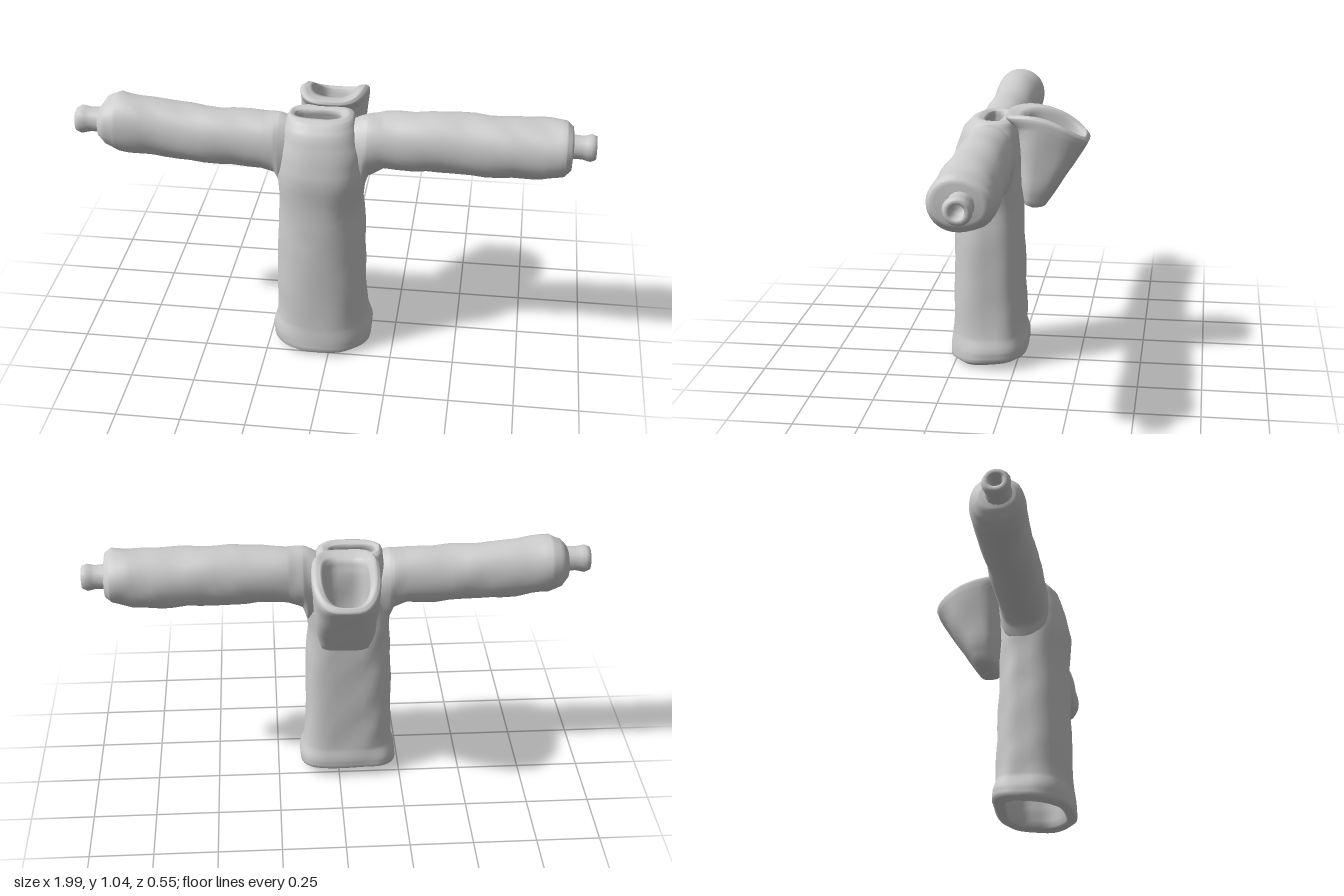
import * as THREE from 'three';

const cloth = new THREE.MeshStandardMaterial({ color: 0xcccccc, side: THREE.DoubleSide });
cloth.name = 'pale grey cloth';

// Point of a superellipse; n = 2 is round, larger is boxier.
function oval(t, n) {
  const c = Math.cos(t), s = Math.sin(t), e = 2 / n;
  return [Math.sign(c) * Math.abs(c) ** e, Math.sign(s) * Math.abs(s) ** e];
}

// Soft cloth lumps, used to swell each ring slightly.
const lumps = (p) =>
  Math.sin(p.x * 23 + p.y * 9) * Math.sin(p.y * 19 + p.z * 21 + 1) +
  0.6 * Math.sin(p.x * 41 - p.z * 27 + p.y * 31);

// Skins a list of sections; point(section, angle) gives a corner of a ring.
function loft(name, sections, point, { sides = 36, sub = 4, lump = 0.003, capStart = false, capEnd = false } = {}) {
  const rings = [];
  sections.forEach((s, i) => {
    if (i === sections.length - 1) return rings.push(s);
    for (let k = 0; k < sub; k++) {
      rings.push(s.map((v, j) => THREE.MathUtils.lerp(v, sections[i + 1][j], k / sub)));
    }
  });
  const pos = [], index = [], centres = [];
  rings.forEach((s) => {
    const pts = [], centre = new THREE.Vector3();
    for (let k = 0; k < sides; k++) {
      const p = point(s, (k / sides) * Math.PI * 2);
      pts.push(p);
      centre.addScaledVector(p, 1 / sides);
    }
    centres.push(centre);
    pts.forEach((p) => {
      const out = p.clone().sub(centre).normalize();
      p.addScaledVector(out, lump * lumps(p));
      pos.push(p.x, p.y, p.z);
    });
  });
  for (let r = 0; r < rings.length - 1; r++) {
    for (let k = 0; k < sides; k++) {
      const a = r * sides + k, b = r * sides + ((k + 1) % sides);
      index.push(a, a + sides, b, b, a + sides, b + sides);
    }
  }
  const cap = (r, start) => {
    const c = pos.length / 3;
    pos.push(...centres[r].toArray());
    for (let k = 0; k < sides; k++) {
      const a = r * sides + k, b = r * sides + ((k + 1) % sides);
      index.push(c, start ? a : b, start ? b : a);
    }
  };
  if (capStart) cap(0, true);
  if (capEnd) cap(rings.length - 1, false);
  const g = new THREE.BufferGeometry();
  g.setAttribute('position', new THREE.Float32BufferAttribute(pos, 3));
  g.setIndex(index);
  g.computeVertexNormals();
  const mesh = new THREE.Mesh(g, cloth);
  mesh.name = name;
  return mesh;
}

// Body section: [y, x0, x1, zBack, zFront]; round front and flatter back.
function bodyPoint([y, x0, x1, z0, z1], t) {
  const [u, v] = oval(t, Math.sin(t) < 0 ? 3.6 : 2.2);
  const z = (z0 + z1) / 2 + (v * (z1 - z0)) / 2;
  const hem = 0.1 * (0.25 - z) * Math.max(0, 1 - y / 0.2);
  return new THREE.Vector3((x0 + x1) / 2 + (u * (x1 - x0)) / 2, y + hem, z);
}

// Sleeve section: [x, y0, y1, z0, z1], running outward from the body.
const sleevePoint = (side) => ([x, y0, y1, z0, z1], t) => {
  const [u, v] = oval(t, 2.1);
  return new THREE.Vector3(x, (y0 + y1) / 2 + (u * (y1 - y0)) / 2, (z0 + z1) / 2 - (side * v * (z1 - z0)) / 2);
};

// Hood section: [zFront, yFront, zBack, yBack, halfWidth, bow].
function hoodPoint([zf, yf, zb, yb, w, bow], t) {
  const [u, v] = oval(t, 3);
  const k = (v + 1) / 2;
  return new THREE.Vector3(-0.02 + u * w, yb + (yf - yb) * k + bow * (1 - v * v), zb + (zf - zb) * k);
}

// Short hollow cuff: outside, rim, then the recess.
function cuff(name, side, xIn, xOut, y, z, r) {
  const ring = (x, k) => [x, y - r * k, y + r * k, z - r * k, z + r * k];
  return loft(name, [
    ring(xIn, 0.95), ring(xIn + (xOut - xIn) * 0.5, 0.88), ring(xOut - side * 0.02, 1.02),
    ring(xOut, 0.85), ring(xOut, 0.55), ring(xOut - side * 0.06, 0.4),
  ], sleevePoint(side), { sides: 16, sub: 2, lump: 0.002, capEnd: true });
}

export function createModel() {
  const group = new THREE.Group();
  group.name = 'hoodedGarment';

  // Hollow body: outside going up, collar, then the lining back to the hem
  group.add(loft('body', [
    [0.005, -0.215, 0.135, -0.01, 0.255],
    [0.025, -0.238, 0.158, -0.038, 0.277],
    [0.07, -0.238, 0.158, -0.038, 0.275],
    [0.13, -0.22, 0.14, -0.025, 0.268],
    [0.3, -0.218, 0.132, -0.02, 0.265],
    [0.5, -0.213, 0.13, -0.015, 0.26],
    [0.65, -0.205, 0.118, -0.01, 0.258],
    [0.78, -0.212, 0.135, -0.005, 0.27],
    [0.88, -0.2, 0.13, -0.005, 0.252],
    [0.96, -0.185, 0.1, 0, 0.226],
    [1.0, -0.17, 0.08, 0.015, 0.19],
    [1.01, -0.16, 0.06, 0.04, 0.165],
    [1.0, -0.145, 0.035, 0.07, 0.135],
    [0.95, -0.145, 0.04, 0.06, 0.15],
    [0.8, -0.165, 0.085, 0.03, 0.215],
    [0.4, -0.17, 0.085, 0.025, 0.215],
    [0.1, -0.175, 0.095, 0.02, 0.22],
    [0.02, -0.185, 0.105, 0.01, 0.235],
    [0.005, -0.215, 0.135, -0.01, 0.255],
  ], bodyPoint, { sides: 48, sub: 3, lump: 0.0025 }));

  // Sleeves, widened at the armpit
  group.add(loft('leftSleeve', [
    [0.07, 0.7, 0.985, 0.01, 0.19],
    [0.12, 0.705, 1.005, 0, 0.2],
    [0.14, 0.765, 1.01, -0.005, 0.2],
    [0.2, 0.795, 1.015, -0.01, 0.195],
    [0.42, 0.793, 1.028, -0.02, 0.197],
    [0.65, 0.788, 1.022, -0.027, 0.205],
    [0.8, 0.795, 1.022, -0.033, 0.208],
    [0.88, 0.815, 1.02, -0.025, 0.205],
    [0.905, 0.84, 1.0, -0.005, 0.19],
    [0.91, 0.88, 0.96, 0.04, 0.13],
  ], sleevePoint(1), { capStart: true, capEnd: true }));
  group.add(loft('rightSleeve', [
    [-0.15, 0.68, 0.98, 0.01, 0.19],
    [-0.2, 0.7, 0.995, 0, 0.2],
    [-0.22, 0.75, 0.995, 0, 0.2],
    [-0.27, 0.77, 0.995, 0, 0.2],
    [-0.5, 0.778, 1.0, 0, 0.2],
    [-0.7, 0.79, 1.02, -0.005, 0.19],
    [-0.83, 0.805, 1.036, -0.012, 0.2],
    [-0.88, 0.83, 1.015, 0, 0.195],
    [-0.905, 0.86, 0.98, 0.03, 0.175],
    [-0.91, 0.89, 0.96, 0.07, 0.15],
  ], sleevePoint(-1), { capStart: true, capEnd: true }));

  // Cuffs
  group.add(cuff('leftCuff', 1, 0.89, 0.995, 0.92, 0.082, 0.052));
  group.add(cuff('rightCuff', -1, -0.88, -0.998, 0.927, 0.11, 0.054));

  // Hood hanging open at the back, with a lining
  group.add(loft('hood', [
    [-0.05, 0.655, -0.085, 0.655, 0.05, 0],
    [-0.025, 0.675, -0.115, 0.67, 0.095, 0],
    [-0.015, 0.75, -0.165, 0.745, 0.115, 0],
    [-0.01, 0.85, -0.225, 0.84, 0.124, 0.01],
    [0, 0.97, -0.27, 0.91, 0.13, 0.035],
    [0.05, 1.015, -0.279, 0.93, 0.13, 0.045],
    [0.045, 1.03, -0.265, 0.948, 0.115, 0.042],
    [-0.02, 1.02, -0.25, 0.94, 0.09, 0.04],
    [-0.035, 0.96, -0.235, 0.89, 0.085, 0.03],
    [-0.04, 0.85, -0.19, 0.84, 0.08, 0.01],
    [-0.05, 0.76, -0.13, 0.76, 0.06, 0],
  ], hoodPoint, { sub: 3, lump: 0.002, capStart: true, capEnd: true }));

  return group;
}
